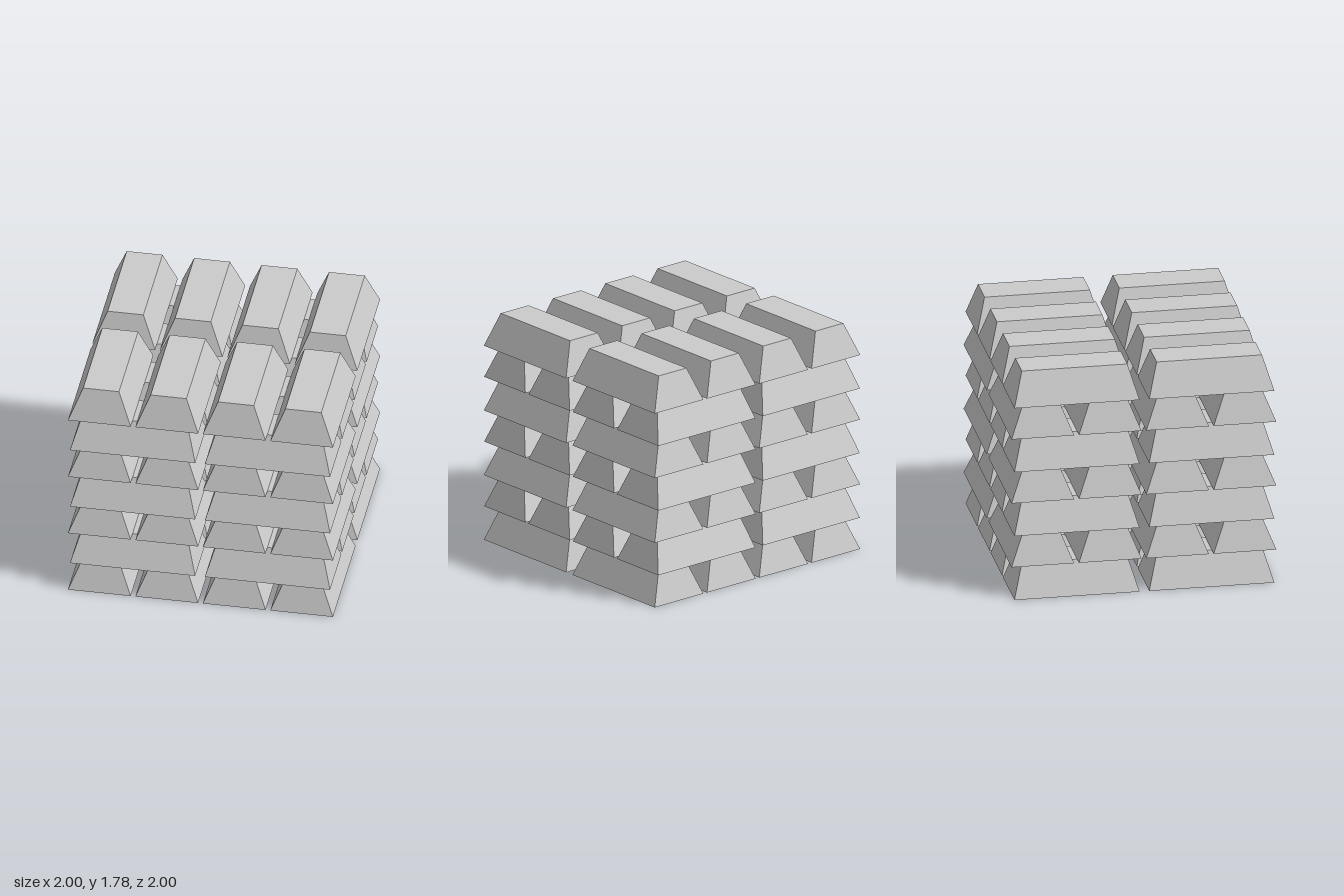
import * as THREE from 'three';

const LAYERS = 7, PITCH = 0.255, HEIGHT = 0.253;
const STACK = 0.509;   // stack centre offset in x and z
const PAIR = 0.2545;   // bar offset from its stack centre

// Tapered bar: long in z, narrower at the top, standing on y = 0
function barGeometry() {
  const geo = new THREE.BoxGeometry(0.473, HEIGHT, 0.945);
  geo.translate(0, HEIGHT / 2, 0);
  const p = geo.attributes.position;
  for (let i = 0; i < p.count; i++) {
    if (p.getY(i) > HEIGHT / 2) {
      p.setX(i, Math.sign(p.getX(i)) * 0.135);
      p.setZ(i, Math.sign(p.getZ(i)) * 0.398);
    }
  }
  geo.computeVertexNormals();
  return geo;
}

export function createModel() {
  const model = new THREE.Group();
  model.name = 'stackedBars';
  const geo = barGeometry();
  const mat = new THREE.MeshStandardMaterial({ color: 0xcccccc, flatShading: true });

  // Four stacks, each with pairs of bars that turn a quarter every layer
  for (const sx of [-1, 1]) for (const sz of [-1, 1]) {
    const stack = new THREE.Group();
    stack.name = (sz > 0 ? 'front' : 'back') + (sx > 0 ? 'Left' : 'Right') + 'Stack';
    stack.position.set(sx * STACK, 0, sz * STACK);
    for (let i = 0; i < LAYERS; i++) {
      const layer = new THREE.Group();
      layer.name = `layer${i + 1}`;
      layer.position.y = i * PITCH;
      layer.rotation.y = i % 2 ? Math.PI / 2 : 0;
      for (const side of [-1, 1]) {
        const bar = new THREE.Mesh(geo, mat);
        bar.name = 'bar';
        bar.position.x = side * PAIR;
        layer.add(bar);
      }
      stack.add(layer);
    }
    model.add(stack);
  }
  return model;
}
